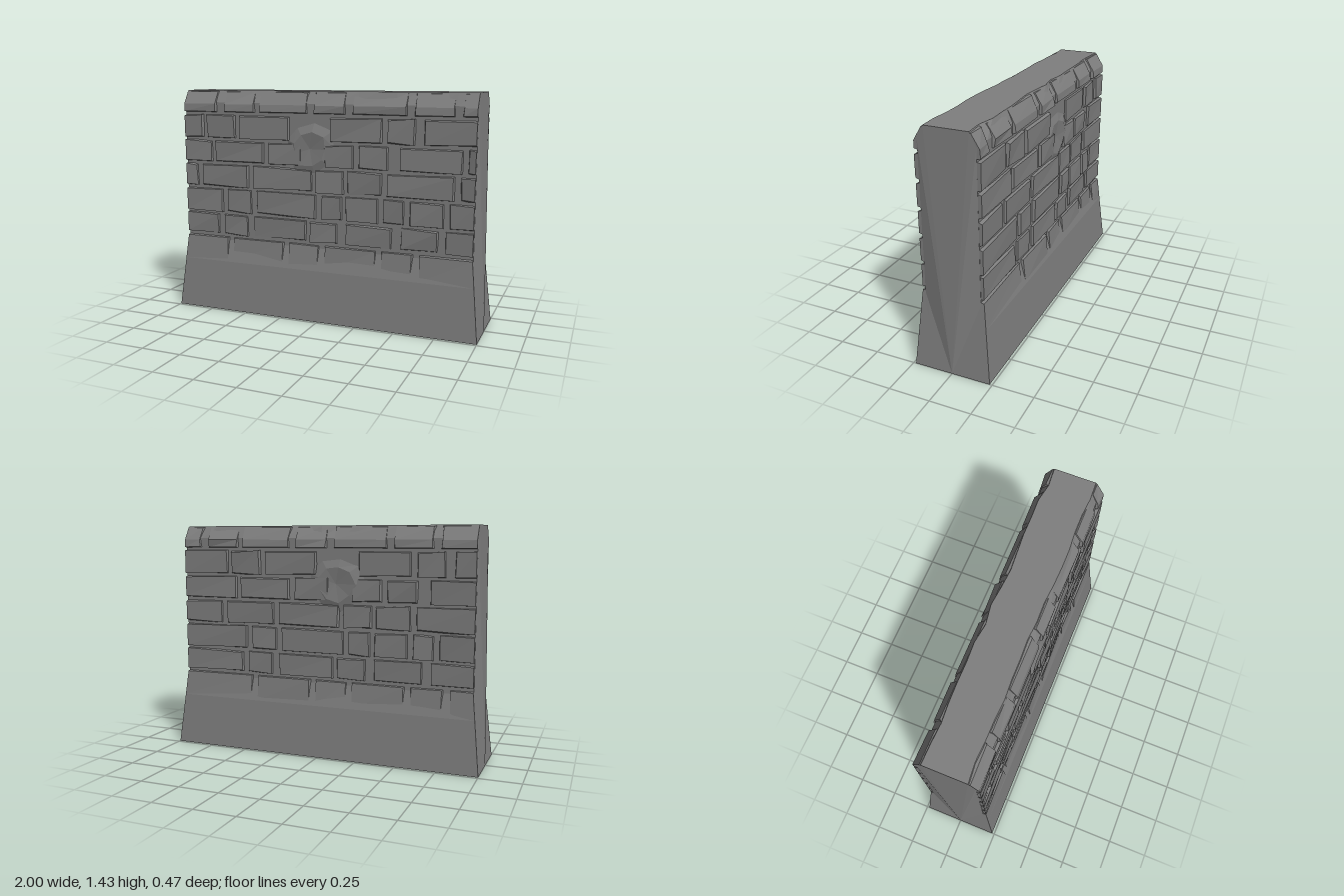
import * as THREE from 'three';

const TOP = 1.43;
// Outer half depth of the wall by height
const DEPTH = [[0, 0.235], [0.48, 0.188], [1.34, 0.19], [TOP, 0.135]];
// Half length of the wall by height
const LENGTH = [[0, 1], [0.48, 0.95], [TOP, 0.95]];

function sample(table, y) {
  for (let i = 1; i < table.length; i++) {
    const [y0, v0] = table[i - 1], [y1, v1] = table[i];
    if (y <= y1) return v0 + (v1 - v0) * (y - y0) / (y1 - y0);
  }
  return table[table.length - 1][1];
}

// Stone courses: bottom, top, stones as [x0, x1], shift on the back face
const COURSES = [
  [0.32, 0.485, [[-0.95, -0.64], [-0.62, -0.24], [-0.22, 0], [0.02, 0.37], [0.39, 0.6], [0.63, 0.95]], 0.18],
  [0.495, 0.635, [[-0.95, -0.71], [-0.69, -0.5], [-0.47, -0.09], [-0.08, 0.12], [0.16, 0.47], [0.51, 0.75], [0.78, 0.95]], 0.18],
  [0.645, 0.8, [[-0.95, -0.68], [-0.66, -0.47], [-0.45, -0.02], [0, 0.15], [0.16, 0.38], [0.4, 0.54], [0.56, 0.78], [0.8, 0.95]], 0.18],
  [0.81, 0.96, [[-0.95, -0.86], [-0.84, -0.49], [-0.47, -0.05], [-0.04, 0.16], [0.17, 0.4], [0.42, 0.84], [0.86, 0.95]], 0.18],
  [0.97, 1.115, [[-0.95, -0.75], [-0.74, -0.38], [-0.36, -0.12], [0.02, 0.22], [0.24, 0.44], [0.5, 0.88], [0.9, 0.95]], 0.18],
  [1.125, 1.28, [[-0.95, -0.81], [-0.8, -0.58], [-0.56, -0.2], [0.06, 0.4], [0.42, 0.6], [0.64, 0.95]], 0.18],
  [1.29, 1.425, [[-0.95, -0.71], [-0.67, -0.44], [-0.42, -0.08], [-0.05, 0.17], [0.2, 0.55], [0.58, 0.83], [0.86, 0.95]], -0.12],
];

function makeRandom(seed) {
  let s = seed;
  return () => (s = (s * 16807) % 2147483647) / 2147483647;
}

function toGeometry(triangles) {
  const g = new THREE.BufferGeometry();
  g.setAttribute('position', new THREE.Float32BufferAttribute(triangles.flat(), 3));
  g.computeVertexNormals();
  return g;
}

// Skins a row of cross-sections running along +x and closes both ends
function loft(rings) {
  const t = [], n = rings[0].length;
  for (let i = 0; i < rings.length - 1; i++) {
    const r = rings[i], s = rings[i + 1];
    for (let j = 0; j < n - 1; j++) t.push(r[j], s[j], s[j + 1], r[j], s[j + 1], r[j + 1]);
  }
  const first = rings[0], last = rings[rings.length - 1];
  for (let j = 1; j < n - 1; j++) {
    t.push(first[0], first[j], first[j + 1]);
    t.push(last[0], last[j + 1], last[j]);
  }
  return toGeometry(t);
}

// Half of the mortar body, with a worn top edge
function coreGeometry(random) {
  const rings = [], count = 16;
  for (let i = 0; i <= count; i++) {
    const u = (i / count) * 2 - 1;
    const wear = i % count ? (random() - 0.5) * 0.022 : 0;
    const profile = [[0, 0], [0, 0.235], [0.32, sample(DEPTH, 0.32)], [0.46, 0.17],
      [1.29, 0.168], [1.355, 0.168], [TOP, 0.13 + wear], [TOP, 0]];
    rings.push(profile.map(([y, z]) => [u * sample(LENGTH, y), y, z]));
  }
  return loft(rings);
}

// One chipped stone with bevelled edges
function stoneGeometry(x0, x1, y0, y1, random) {
  const bevel = 0.009, cap = y1 > 1.4;
  const leftEnd = x0 <= -0.949, rightEnd = x1 >= 0.949;
  const low = y0 < 0.4;
  const heights = cap ? [y0 + bevel, 1.345, y1 - 0.004] : [y0 + (low ? 0.002 : bevel), y1 - bevel];
  const ring = (x, dir, isEnd) => {
    const at = (y, inset) => (isEnd ? -dir * sample(LENGTH, y) : x + dir * inset);
    const points = [[at(y0, 0), y0, 0.15]];
    heights.forEach((h, k) => {
      const y = h + (random() - 0.5) * (low || cap ? 0.004 : 0.016);
      const sunk = isEnd ? 0 : random() * (cap && k === 2 ? 0.004 : 0.012);
      points.push([at(y, bevel + random() * 0.008), y, sample(DEPTH, y) - sunk]);
    });
    points.push([at(y1, 0), y1, cap ? 0.12 : 0.15]);
    return points;
  };
  return loft([ring(x0, 1, leftEnd), ring(x1, -1, rightEnd)]);
}

// Shallow broken patch where stones have come away
function brokenPatchGeometry(cx, cy, random) {
  const t = [], n = 9, outer = [], inner = [];
  for (let i = 0; i < n; i++) {
    const a = (i / n) * Math.PI * 2, r = 0.17 + random() * 0.06;
    const c = Math.cos(a), s = Math.sin(a);
    outer.push([cx + c * r, cy + s * r * 0.9, 0.164]);
    inner.push([cx + c * r * 0.6, cy + s * r * 0.55, 0.178 + random() * 0.009]);
  }
  const centre = [cx, cy, 0.17];
  for (let i = 0; i < n; i++) {
    const k = (i + 1) % n;
    t.push(outer[i], outer[k], inner[k], outer[i], inner[k], inner[i], inner[i], inner[k], centre);
  }
  return toGeometry(t);
}

function wallHalf(name, back, material) {
  const group = new THREE.Group();
  group.name = name;
  const random = makeRandom(back ? 7321 : 1979);
  const add = (part, geometry) => {
    const mesh = new THREE.Mesh(geometry, material);
    mesh.name = part;
    group.add(mesh);
  };
  add('mortarCore', coreGeometry(random));
  COURSES.forEach(([y0, y1, stones, offset], row) => {
    const shift = back ? offset : 0;
    const kept = stones
      .map(([a, b]) => [Math.max(-0.95, a + shift), Math.min(0.95, b + shift)])
      .filter(([a, b]) => b - a > 0.04);
    // End stones always reach the ends of the wall
    kept[0][0] = -0.95;
    kept[kept.length - 1][1] = 0.95;
    kept.forEach(([a, b]) => add(row === 6 ? 'capStone' : 'stone', stoneGeometry(a, b, y0, y1, random)));
  });
  add('brokenPatch', brokenPatchGeometry(back ? 0.1 : -0.07, 1.08, random));
  return group;
}

export function createModel() {
  const stone = new THREE.MeshStandardMaterial({ color: 0x7f7f7f });
  stone.name = 'greyStone';
  const model = new THREE.Group();
  model.name = 'stoneWall';
  const front = wallHalf('frontHalf', false, stone);
  const rear = wallHalf('backHalf', true, stone);
  rear.rotation.y = Math.PI;
  model.add(front, rear);
  return model;
}
